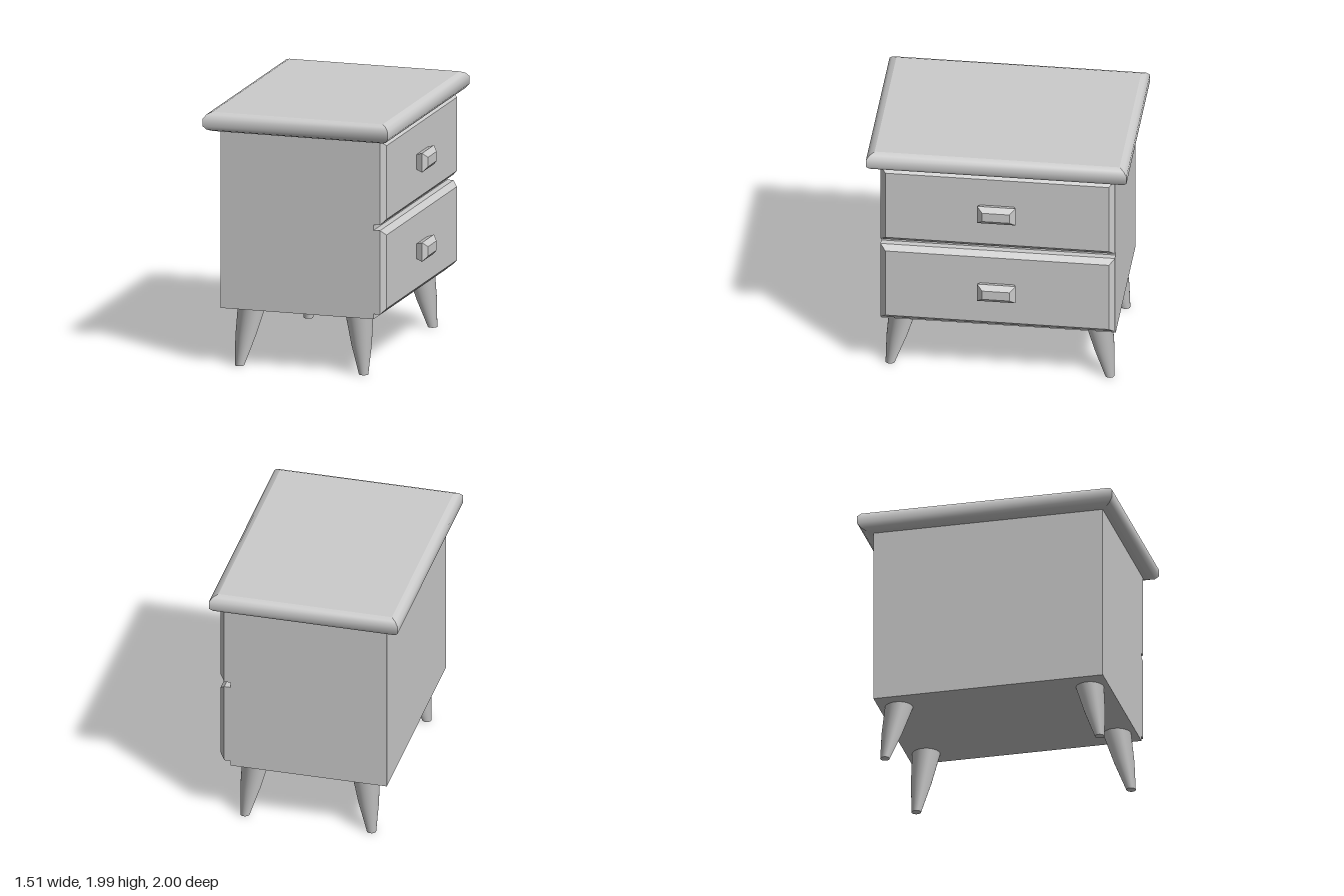
import * as THREE from 'three';

const material = new THREE.MeshStandardMaterial({ color: 0xcccccc });

// Loft of rectangles along y; sections are [y, halfX, halfZ], with sharp mitred corners
function rectLoft(sections, smooth = false) {
  const corners = [[1, 1], [1, -1], [-1, -1], [-1, 1]];
  const pos = [], index = [];
  const add = ([y, a, b], [sx, sz]) => pos.push(sx * a, y, sz * b);
  corners.forEach((c, k) => {
    const d = corners[(k + 1) % 4];
    const base = pos.length / 3;
    sections.forEach((s, i) => {
      add(s, c);
      add(s, d);
      if (i === 0) return;
      const p = base + 2 * (i - 1);
      index.push(p, p + 1, p + 3, p, p + 3, p + 2);
    });
  });
  // End caps
  [sections[0], sections[sections.length - 1]].forEach((s, end) => {
    const p = pos.length / 3;
    corners.forEach((c) => add(s, c));
    index.push(...(end ? [p, p + 1, p + 2, p, p + 2, p + 3] : [p, p + 2, p + 1, p, p + 3, p + 2]));
  });
  let geo = new THREE.BufferGeometry();
  geo.setAttribute('position', new THREE.Float32BufferAttribute(pos, 3));
  geo.setIndex(index);
  if (!smooth) geo = geo.toNonIndexed();
  geo.computeVertexNormals();
  return geo;
}

function mesh(name, geo, x = 0, y = 0, z = 0) {
  const m = new THREE.Mesh(geo, material);
  m.name = name;
  m.position.set(x, y, z);
  return m;
}

// Tapered leg whose foot is shifted outwards by (dx, dz)
function legGeometry(dx, dz) {
  const h = 0.45;
  const geo = new THREE.CylinderGeometry(0.107, 0.036, h, 32, 2);
  const p = geo.attributes.position;
  for (let i = 0; i < p.count; i++) {
    const t = 0.5 - p.getY(i) / h;
    // Slight swelling at mid height
    const swell = Math.abs(t - 0.5) < 0.1 ? 1.1 : 1;
    p.setX(i, p.getX(i) * swell + dx * t);
    p.setZ(i, p.getZ(i) * swell + dz * t);
  }
  return geo;
}

export function createModel() {
  const group = new THREE.Group();

  // Cabinet body
  group.add(mesh('cabinet', new THREE.BoxGeometry(1.23, 1.4, 1.8), -0.035, 1.15, 0));

  // Overhanging top with a rounded edge
  const edge = [[1.84, 0.06], [1.855, 0.025], [1.885, 0], [1.945, 0], [1.975, 0.025], [1.99, 0.06]];
  const top = rectLoft(edge.map(([y, inset]) => [y, 0.7425 - inset, 1 - inset]), true);
  group.add(mesh('tabletop', top, -0.0175));

  // Two bevelled drawers facing +x, each with a faceted pull
  const front = rectLoft([[0, 0.328, 0.9], [0.05, 0.328, 0.9], [0.09, 0.288, 0.858]]).rotateZ(-Math.PI / 2);
  const pull = rectLoft([[0, 0.058, 0.13], [0.05, 0.075, 0.148], [0.085, 0.037, 0.105]]).rotateZ(-Math.PI / 2);
  [['lower', 0.818], ['upper', 1.517]].forEach(([level, y]) => {
    const drawer = new THREE.Group();
    drawer.name = level + 'Drawer';
    drawer.position.set(0.58, y, 0);
    drawer.add(mesh('drawerFront', front), mesh('drawerHandle', pull, 0.09, 0, 0));
    group.add(drawer);
  });

  // Splayed legs
  for (const [x, dx] of [[-0.447, -0.068], [0.417, 0.064]]) {
    for (const s of [1, -1]) {
      group.add(mesh('leg', legGeometry(dx, s * 0.093), x, 0.225, s * 0.75));
    }
  }
  return group;
}
